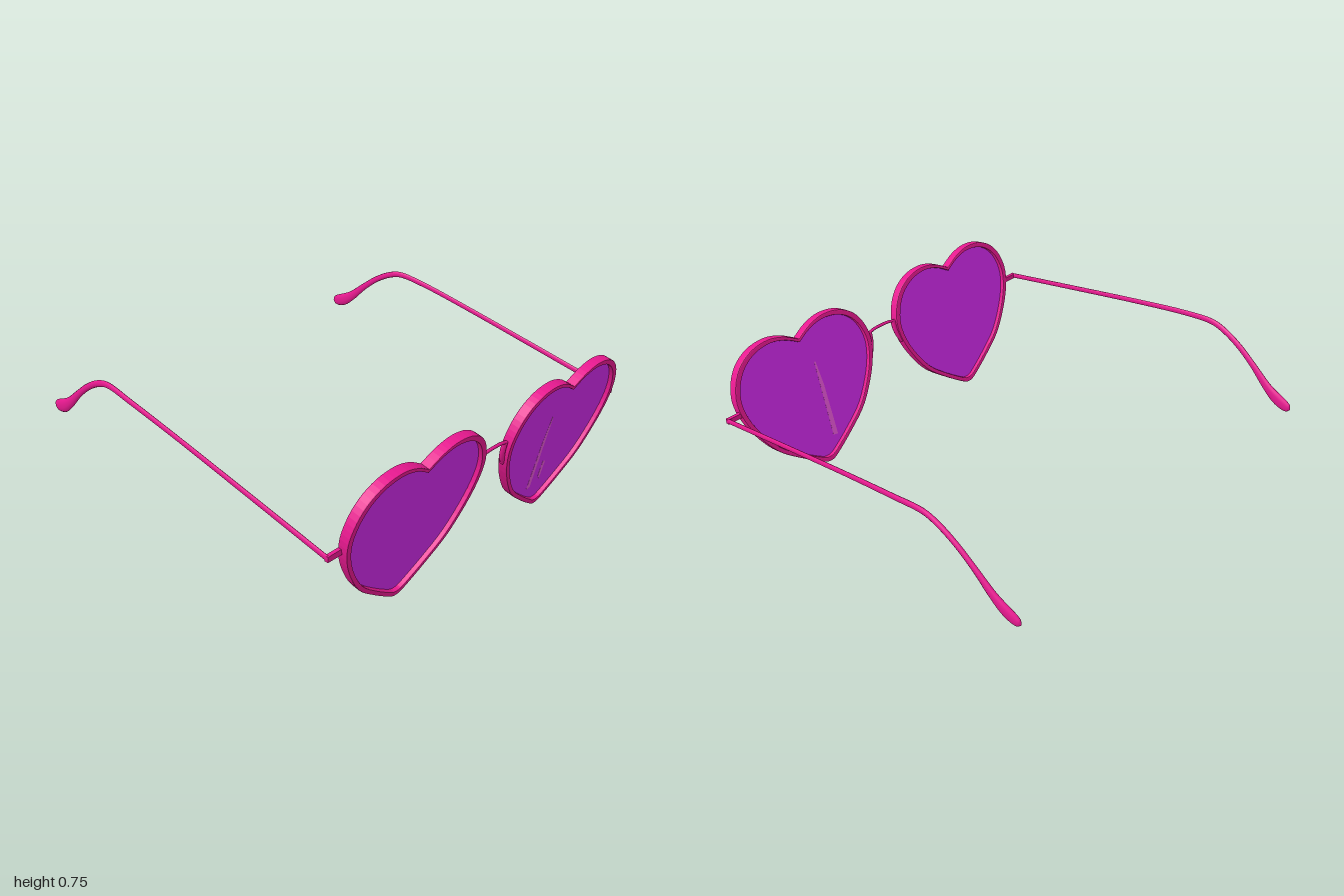
import * as THREE from 'three';

const frameMat = new THREE.MeshStandardMaterial({ color: 0xee1a94 });
frameMat.name = 'magenta frame';
const lensMat = new THREE.MeshStandardMaterial({ color: 0xd02aea });
lensMat.name = 'purple lens';
const glintMat = new THREE.MeshStandardMaterial({ color: 0xec5adc });
glintMat.name = 'pink glint';

const TILT = 0.217;

function add(parent, name, geometry, material) {
  const mesh = new THREE.Mesh(geometry, material);
  mesh.name = name;
  parent.add(mesh);
  return mesh;
}

// Right half of the heart outline, from the bottom tip to the notch
const HALF = [
  [0, 0], [0.04, 0.012], [0.165, 0.1], [0.284, 0.205], [0.38, 0.365], [0.418, 0.5],
  [0.404, 0.605], [0.353, 0.693], [0.27, 0.748], [0.17, 0.764], [0.08, 0.743], [0, 0.698],
];

// Heart points, scaled about the middle of the heart
function heartPoints(scale) {
  const half = new THREE.SplineCurve(HALF.map(([x, y]) => new THREE.Vector2(x, y))).getPoints(44);
  const left = half.slice(1, -1).reverse().map((p) => new THREE.Vector2(-p.x, p.y));
  return [...half, ...left].map((p) => new THREE.Vector2(p.x * scale, 0.41 + (p.y - 0.41) * scale));
}

function extrudeCentred(shape, depth, bevel = 0) {
  const g = new THREE.ExtrudeGeometry(shape, {
    depth: depth - 2 * bevel, bevelEnabled: bevel > 0, bevelSize: bevel,
    bevelThickness: bevel, bevelOffset: -bevel, bevelSegments: 2,
  });
  return g.translate(0, 0, -depth / 2 + bevel);
}

function makeRim() {
  const shape = new THREE.Shape(heartPoints(1));
  shape.holes.push(new THREE.Path(heartPoints(0.935)));
  return extrudeCentred(shape, 0.05, 0.005);
}

// Loft of elliptical sections [y, z, half height, half width] running backwards
function makeTemple(side) {
  const rows = [
    [0.465, 0.9, 0.014, 0.007], [0.56, 0.43, 0.014, 0.007], [0.645, 0, 0.014, 0.007],
    [0.7, -0.31, 0.015, 0.008], [0.719, -0.48, 0.016, 0.009], [0.699, -0.56, 0.016, 0.01],
    [0.65, -0.655, 0.016, 0.01], [0.58, -0.75, 0.018, 0.01], [0.5, -0.845, 0.026, 0.012],
    [0.463, -0.905, 0.034, 0.013], [0.446, -0.95, 0.032, 0.012], [0.44, -0.975, 0.022, 0.009],
    [0.437, -0.987, 0.001, 0.001],
  ];
  const xAt = (z) => side * (z > -0.3 ? 0.992 : 0.992 - 0.026 * (-0.3 - z) / 0.68);
  const path = new THREE.CatmullRomCurve3(rows.map(([y, z]) => new THREE.Vector3(xAt(z), y, z)));
  const sizes = new THREE.CatmullRomCurve3(rows.map(([, , h, w]) => new THREE.Vector3(h, w, 0)), false, 'catmullrom');
  const steps = 60, sides = 10, pos = [], index = [];
  const across = new THREE.Vector3(1, 0, 0);
  for (let i = 0; i <= steps; i++) {
    const c = path.getPoint(i / steps);
    const s = sizes.getPoint(i / steps);
    const up = new THREE.Vector3().crossVectors(across, path.getTangent(i / steps)).normalize();
    for (let j = 0; j < sides; j++) {
      const a = (j / sides) * Math.PI * 2;
      const p = c.clone().addScaledVector(up, Math.cos(a) * s.x).addScaledVector(across, Math.sin(a) * s.y);
      pos.push(p.x, p.y, p.z);
      if (i < steps) {
        const k = i * sides + j, n = i * sides + ((j + 1) % sides);
        index.push(k, n, k + sides, n, n + sides, k + sides);
      }
    }
  }
  const g = new THREE.BufferGeometry();
  g.setAttribute('position', new THREE.Float32BufferAttribute(pos, 3));
  g.setIndex(index);
  g.computeVertexNormals();
  return g;
}

export function createModel() {
  const model = new THREE.Group();
  model.name = 'heartSunglasses';
  const planeZ = (y) => 0.803 + y * 0.2205;
  const v = (x, y) => new THREE.Vector3(x, y, planeZ(y) - 0.006);

  for (const side of [1, -1]) {
    const label = side > 0 ? 'left' : 'right';

    // Rim and lens, leaning forward at the top
    const eye = new THREE.Group();
    eye.name = label + 'Eyepiece';
    eye.position.set(side * 0.51, 0.005, 0.803);
    eye.rotation.x = TILT;
    model.add(eye);
    add(eye, label + 'Rim', makeRim(), frameMat);
    add(eye, label + 'Lens', extrudeCentred(new THREE.Shape(heartPoints(0.95)), 0.005), lensMat);

    // Slim reflections on one lens: the long one shows on both faces, the short one in front
    if (side > 0) {
      const glints = [
        ['longGlint', 0, [[-0.09, 0.112], [-0.062, 0.118], [-0.062, 0.54], [-0.07, 0.54], [-0.084, 0.4]]],
        ['shortGlint', 0.002, [[-0.016, 0.165], [0.002, 0.138], [0.007, 0.25], [-0.016, 0.255]]],
      ];
      for (const [name, z, pts] of glints) {
        const shape = new THREE.Shape(pts.map(([x, y]) => new THREE.Vector2(x, y)));
        add(eye, name, extrudeCentred(shape, 0.0062 - z), glintMat).position.z = z / 2;
      }
    }

    // Hinge block and temple arm
    const hinge = add(model, label + 'Hinge', new THREE.BoxGeometry(0.085, 0.026, 0.018), frameMat);
    hinge.position.set(side * 0.955, 0.465, 0.892);
    add(model, label + 'Temple', makeTemple(side), frameMat);

    // Bridge mount hugging the inner side of the rim
    const mount = new THREE.CatmullRomCurve3(
      [[0.082, 0.545], [0.084, 0.5], [0.094, 0.46], [0.113, 0.42]].map(([x, y]) => v(side * x, y)));
    add(model, label + 'BridgeMount', new THREE.TubeGeometry(mount, 16, 0.013, 8), frameMat);
  }

  // Bridge wire
  const bridge = new THREE.CatmullRomCurve3(
    [[-0.1, 0.538], [-0.075, 0.544], [-0.045, 0.55], [0.045, 0.55], [0.075, 0.544], [0.1, 0.538]]
      .map(([x, y]) => v(x, y)));
  add(model, 'bridge', new THREE.TubeGeometry(bridge, 32, 0.008, 8), frameMat);

  return model;
}
